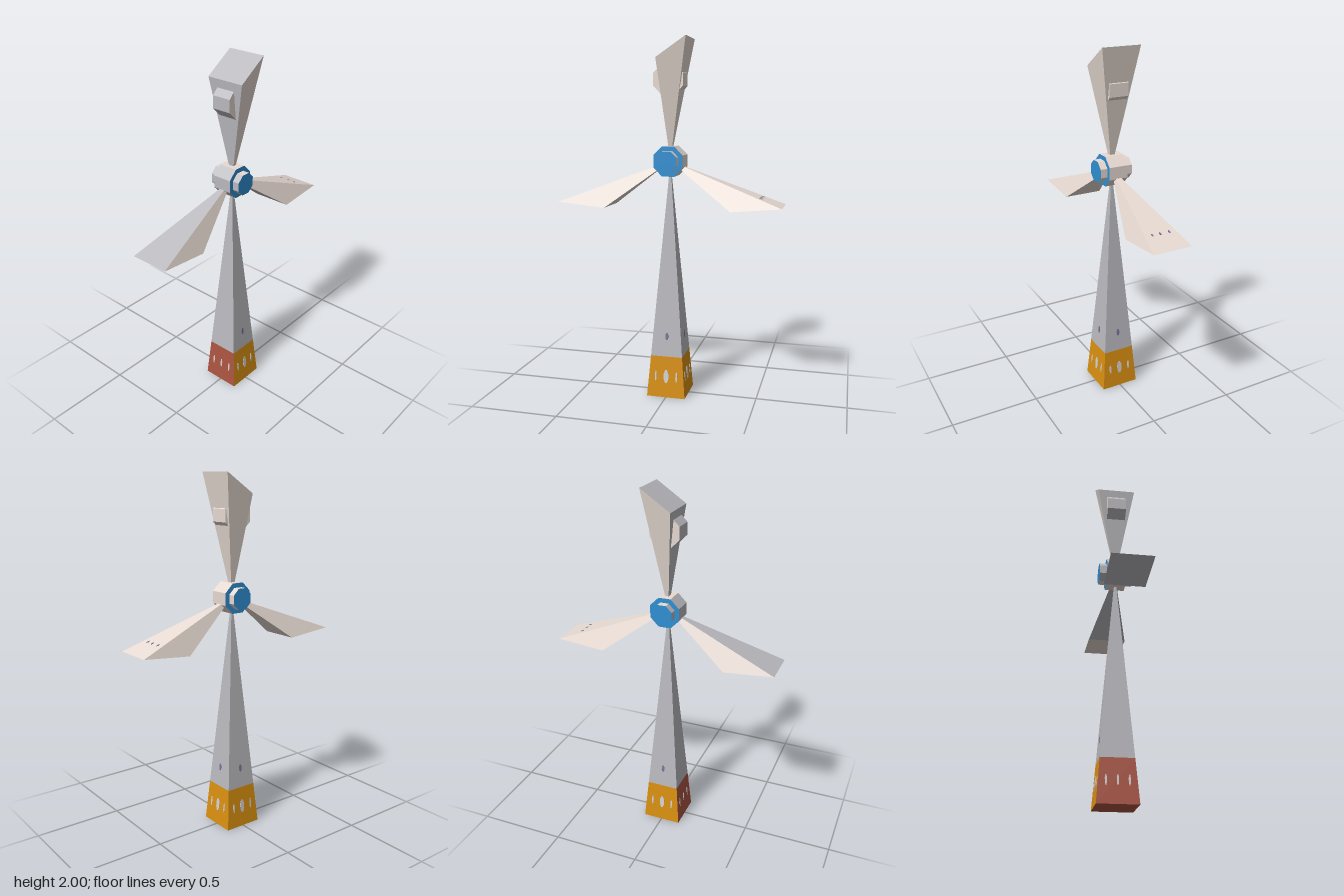
import * as THREE from 'three';
import { ConvexGeometry } from 'three/addons/geometries/ConvexGeometry.js';

const HUB_Y = 1.335, HALF = 0.11;

export function createModel() {
  const colours = {
    wallGrey: 0xbab9be, sailBeige: 0xebded6, hubBlue: 0x2f90d4, baseOchre: 0xd98f10,
    brickRed: 0xaa5341, windowLight: 0xd4d0d2, windowPurple: 0x7a7299,
  };
  const m = {};
  for (const [name, color] of Object.entries(colours)) {
    m[name] = new THREE.MeshStandardMaterial({ color, flatShading: true });
    m[name].name = name;
  }
  const root = new THREE.Group();
  root.name = 'windTower';

  // gives each triangle a material chosen from its normal
  function faceted(name, source, choose, parent = root) {
    const geo = source.index ? source.toNonIndexed() : source;
    geo.clearGroups();
    geo.computeVertexNormals();
    const mats = [], n = new THREE.Vector3();
    for (let i = 0; i < geo.attributes.position.count; i += 3) {
      n.fromBufferAttribute(geo.attributes.normal, i);
      const mat = choose(n);
      if (!mats.includes(mat)) mats.push(mat);
      geo.addGroup(i, 3, mats.indexOf(mat));
    }
    const mesh = new THREE.Mesh(geo, mats);
    mesh.name = name;
    parent.add(mesh);
    return mesh;
  }
  const frontGrey = (n) => (n.z > 0.05 ? m.wallGrey : m.sailBeige);

  // tapering square tower with a painted base
  const halfAt = (y) => HALF * (1 - y / HUB_Y);
  const square = (y) => {
    const h = halfAt(y);
    return [[-h, -h], [h, -h], [h, h], [-h, h]].map(([x, z]) => new THREE.Vector3(x, y, z));
  };
  faceted('towerBase', new ConvexGeometry([...square(0), ...square(0.235)]),
    (n) => (n.z > 0.5 || n.y < -0.5 ? m.brickRed : n.y > 0.5 ? m.wallGrey : m.baseOchre));
  faceted('towerShaft', new ConvexGeometry([...square(0.235), ...square(1.3)]), () => m.wallGrey);

  // sails: pyramids from the hub to a sloped end, each end given by two (y, z) edges
  function sail(name, a, b) {
    const pts = [new THREE.Vector3(0, HUB_Y, 0)];
    for (const [y, z] of [a, b])
      for (const x of [-HALF, HALF]) pts.push(new THREE.Vector3(x, y, z));
    faceted(name, new ConvexGeometry(pts), frontGrey);
  }
  sail('topSail', [2.0, -0.11], [1.89, 0.055]);
  sail('frontSail', [1.1, 0.63], [1.075, 0.355]);
  sail('backSail', [1.1, -0.63], [1.075, -0.355]);

  // eight-sided drums lying along x
  function drum(name, apothem, halfLength, y, capMat) {
    const r = apothem / Math.cos(Math.PI / 8);
    const geo = new THREE.CylinderGeometry(r, r, halfLength * 2, 8, 1, false, Math.PI / 8);
    geo.rotateZ(Math.PI / 2);
    geo.translate(0, y, 0);
    faceted(name, geo, (n) => (Math.abs(n.x) > 0.9 ? capMat : frontGrey(n)));
  }
  drum('hubDrum', 0.083, 0.055, HUB_Y, m.hubBlue);
  drum('hubAxle', 0.058, 0.095, HUB_Y, m.hubBlue);
  drum('sailPod', 0.083, 0.055, 1.777, m.sailBeige);

  // thin eight-sided windows
  const pane = new THREE.CylinderGeometry(0.5, 0.5, 1, 8, 1, false, Math.PI / 8).rotateX(Math.PI / 2);
  function addPane(parent, mat, x, y, z, w, h, tilt) {
    const mesh = new THREE.Mesh(pane, mat);
    mesh.name = 'window';
    mesh.position.set(x, y, z);
    mesh.rotation.x = tilt;
    mesh.scale.set(w, h, 0.004);
    parent.add(mesh);
  }
  const lean = -Math.atan(HALF / HUB_Y);
  for (let side = 0; side < 4; side++) {
    const wall = new THREE.Group();
    wall.name = 'wallWindows';
    wall.rotation.y = (side * Math.PI) / 2;
    for (const u of [-0.06, 0, 0.06]) {
      const wide = u === 0 && side > 0;
      addPane(wall, m.windowLight, u, 0.12, halfAt(0.12), wide ? 0.03 : 0.012, wide ? 0.08 : 0.06, lean);
    }
    if (side > 0) addPane(wall, m.windowPurple, 0, 0.35, halfAt(0.35), 0.018, 0.045, lean);
    root.add(wall);
  }
  // slits on the upper face of the back sail
  const slope = (HUB_Y - 1.1) / 0.63;
  for (const x of [-0.05, 0.003, 0.047])
    addPane(root, m.windowPurple, x, HUB_Y - slope * 0.51, -0.51, 0.01, 0.02, -Math.PI / 2 - Math.atan(slope));

  return root;
}
